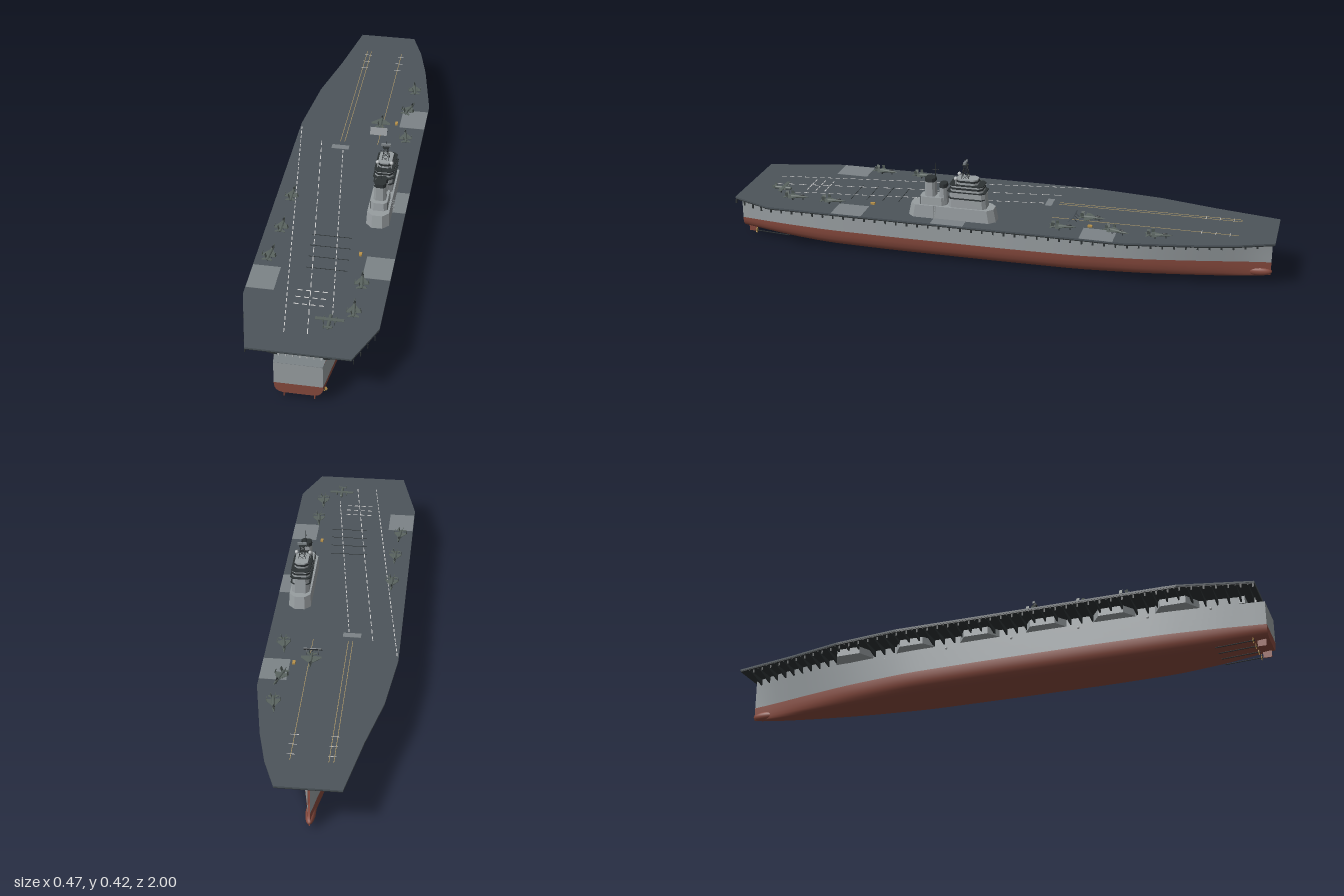
import * as THREE from 'three';

const C = { grey: 0x979da0, red: 0x84483c, deck: 0x4c545a, dark: 0x2c3133, light: 0x7c8387, plane: 0x59635f,
  white: 0xc4c6c2, tan: 0xb09a68, gold: 0xb8924a, pale: 0xb4b8ba };
const mats = {};
const mat = (c) => (mats[c] ??= new THREE.MeshStandardMaterial({ color: C[c], side: THREE.DoubleSide }));
const DECK = 0.191;

function add(parent, name, geo, color, x = 0, y = 0, z = 0) {
  const m = new THREE.Mesh(geo, mat(color));
  m.name = name;
  m.position.set(x, y, z);
  parent.add(m);
  return m;
}
const box = (p, name, c, w, h, d, x, y, z) => add(p, name, new THREE.BoxGeometry(w, h, d), c, x, y, z);

// Thin round bar between two points
function bar(p, name, c, a, b, r = 0.001) {
  const A = new THREE.Vector3(...a), B = new THREE.Vector3(...b);
  return add(p, name, new THREE.TubeGeometry(new THREE.LineCurve3(A, B), 1, r, 5), c);
}

// Plan outline [x, z] raised to a height, with an optional taper towards (cx, cz)
function slab(points, h, taper = 1, cx = 0, cz = 0) {
  const s = new THREE.Shape(points.map(([x, z]) => new THREE.Vector2(x, -z)));
  const g = new THREE.ExtrudeGeometry(s, { depth: h, bevelEnabled: false }).rotateX(-Math.PI / 2);
  const p = g.attributes.position;
  for (let i = 0; i < p.count; i++) if (p.getY(i) > h / 2)
    p.setXYZ(i, cx + (p.getX(i) - cx) * taper, h, cz + (p.getZ(i) - cz) * taper);
  g.computeVertexNormals();
  return g;
}
// Eight-sided block with cut corners
function block(w, d, cut, h, taper = 1) {
  const a = w / 2, b = d / 2;
  return slab([[-a + cut, -b], [a - cut, -b], [a, -b + cut], [a, b - cut], [a - cut, b], [-a + cut, b],
    [-a, b - cut], [-a, -b + cut]], h, taper);
}
// Skin over rows of points
function loft(rows) {
  const n = rows[0].length, idx = [];
  for (let i = 0; i < rows.length - 1; i++) for (let j = 0; j < n - 1; j++) {
    const a = i * n + j;
    idx.push(a, a + n, a + 1, a + 1, a + n, a + n + 1);
  }
  const g = new THREE.BufferGeometry();
  g.setAttribute('position', new THREE.Float32BufferAttribute(rows.flat(2), 3));
  g.setIndex(idx);
  g.computeVertexNormals();
  return g;
}
// Piecewise linear lookup: rows [z, value...]
function look(table, z, k = 1) {
  for (let i = 1; i < table.length; i++) if (z <= table[i][0] || i === table.length - 1) {
    const [a, b] = [table[i - 1], table[i]];
    return THREE.MathUtils.lerp(a[k], b[k], THREE.MathUtils.clamp((z - a[0]) / (b[0] - a[0]), 0, 1));
  }
}

// Hull stations: z, half beam at top, half beam at waterline, keel height
const STATIONS = [[-0.985, 0.004, 0.003, 0.02], [-0.9, 0.035, 0.018, 0.01], [-0.75, 0.07, 0.05, 0.005],
  [-0.55, 0.1, 0.088, 0.001], [-0.3, 0.12, 0.117, 0], [0, 0.122, 0.122, 0], [0.4, 0.122, 0.122, 0],
  [0.65, 0.117, 0.117, 0.002], [0.82, 0.103, 0.103, 0.012], [1, 0.08, 0.08, 0.03]];
// Deck edge: z, distance from the centreline
const EDGE_R = [[-1, 0.11], [-0.88, 0.155], [-0.74, 0.19], [-0.49, 0.235], [0.83, 0.235], [0.985, 0.17]];
const EDGE_L = [[-1, 0.11], [-0.76, 0.157], [-0.55, 0.207], [-0.3, 0.237], [0.73, 0.237], [0.985, 0.175]];

function buildHull(g) {
  const zs = [];
  for (let i = 0; i <= 60; i++) zs.push(-0.985 + 1.985 * i / 60);
  const smooth = (z, k) => [-0.05, -0.025, 0, 0.025, 0.05].reduce((s, d) => s + look(STATIONS, z + d, k) / 5, 0);
  const st = (z, k) => (z < -0.97 || z > 0.97 ? look(STATIONS, z, k) : smooth(z, k));
  const half = (z) => {
    const b = st(z, 2), y0 = st(z, 3), h = 0.07 - y0;
    return [[1, 1], [1, 0.72], [0.965, 0.45], [0.9, 0.24], [0.8, 0.1], [0.65, 0.02], [0.3, 0], [0, 0]]
      .map(([u, v]) => [b * u, y0 + h * v, z]);
  };
  const ring = (z) => { const r = half(z); return [...r, ...r.slice(0, -1).reverse().map(([x, y]) => [-x, y, z])]; };
  add(g, 'lowerHull', loft(zs.map(ring)), 'red');
  const side = (z, s, y0, y1) => [0, 0.25, 0.5, 0.75, 1].map((t) => {
    const y = y0 + (y1 - y0) * t, f = (y - 0.07) / 0.113;
    return [s * THREE.MathUtils.lerp(st(z, 2), st(z, 1), f), y, z];
  });
  for (const s of [1, -1]) {
    const order = (r) => (s > 0 ? r.reverse() : r);
    add(g, 'upperHull', loft(zs.map((z) => order(side(z, s, 0.07, 0.155)))), 'grey');
    add(g, 'hullTop', loft(zs.filter((z) => z < 0.94).map((z) => order(side(z, s, 0.155, 0.183)))), 'grey');
  }
  // Flat stern in two colours
  const cap = ring(1).map(([x, y]) => new THREE.Vector2(x, y));
  add(g, 'lowerTransom', new THREE.ShapeGeometry(new THREE.Shape(cap)), 'red', 0, 0, 1);
  box(g, 'upperTransom', 'grey', 0.16, 0.085, 0.004, 0, 0.1125, 0.998);
  box(g, 'sternGallery', 'grey', 0.19, 0.03, 0.02, 0, 0.169, 0.925);
  add(g, 'quarterdeck', slab([[-0.095, 0.85], [0.095, 0.85], [0.08, 1], [-0.08, 1]], 0.003), 'light', 0, 0.153, 0);
  for (let i = -3; i <= 3; i++) box(g, 'sternPost', 'pale', 0.004, 0.03, 0.004, i * 0.023, 0.169, 0.965);
  add(g, 'bowBulb', new THREE.SphereGeometry(1, 20, 14).scale(0.017, 0.018, 0.055), 'red', 0, 0.032, -0.935);
  // Screws and rudders
  for (const x of [-0.075, -0.025, 0.025, 0.075]) {
    bar(g, 'shaft', 'dark', [x, 0.012, 0.82], [x, 0.019, 0.955], 0.002);
    for (let k = 0; k < 4; k++)
      box(g, 'propellerBlade', 'gold', 0.005, 0.02, 0.002, x, 0.019, 0.95).rotation.z = k * Math.PI / 4;
  }
  for (const x of [-0.05, 0.05]) box(g, 'rudder', 'red', 0.004, 0.034, 0.03, x, 0.022, 0.975);
}

function buildDeck(g) {
  const outline = [...EDGE_R.map(([z, x]) => [x, z]), ...EDGE_L.map(([z, x]) => [-x, z]).reverse()];
  add(g, 'flightDeck', slab(outline, 0.006), 'deck', 0, DECK - 0.006, 0);
  add(g, 'deckUnderside', slab(outline.map(([x, z]) => [x * 0.995, z * 0.998]), 0.004), 'dark', 0, DECK - 0.01, 0);
  for (const [s, edge] of [[1, EDGE_R], [-1, EDGE_L]]) {
    // Triangular brackets and hanging stays below the overhang
    for (let z = -0.96; z < 0.97; z += 0.04) {
      const b = look(STATIONS, z), e = look(edge, z);
      const tri = new THREE.Shape([[b - 0.01, 0.182], [b - 0.01, 0.158], [b, 0.158], [e - 0.004, 0.179], [e - 0.004, 0.182]]
        .map(([x, y]) => new THREE.Vector2(s * x, y)));
      add(g, 'deckBracket', new THREE.ExtrudeGeometry(tri, { depth: 0.005, bevelEnabled: false }), 'dark', 0, 0, z);
      box(g, 'edgeStay', 'dark', 0.003, 0.015, 0.006, s * (e - 0.006), 0.176, z + 0.02);
    }
    // Side sponsons
    for (const z of [-0.52, -0.27, -0.02, 0.23, 0.48, 0.7]) {
      const b = look(STATIONS, z) - 0.006;
      add(g, 'sponson', slab([[s * b, z - 0.08], [s * 0.165, z - 0.045], [s * 0.165, z + 0.045], [s * b, z + 0.08]], 0.028),
        'grey', 0, 0.155, 0);
      add(g, 'sidePod', new THREE.SphereGeometry(0.005, 8, 6), 'pale', s * (b + 0.009), 0.142, z + 0.12);
    }
  }
  // Lifts: x, z, width, length
  for (const [x, z, w, d] of [[0.187, -0.39, 0.096, 0.12], [0.21, 0.15, 0.05, 0.12], [0.187, 0.528, 0.096, 0.115],
    [-0.188, 0.635, 0.096, 0.12]]) box(g, 'aircraftLift', 'light', w, 0.002, d, x, DECK, z);
  box(g, 'deckPanel', 'light', 0.065, 0.002, 0.025, -0.062, DECK, -0.163);
  // Painted lines, dashed when n > 1
  const line = (c, x0, z0, x1, z1, n = 1, w = 0.003) => {
    const len = Math.hypot(x1 - x0, z1 - z0) / n;
    for (let i = 0; i < n; i++) {
      const t = (i + 0.5) / n;
      box(g, 'deckLine', c, w, 0.001, len * (n > 1 ? 0.6 : 1), x0 + (x1 - x0) * t, DECK + 0.0005, z0 + (z1 - z0) * t)
        .rotation.y = Math.atan2(x1 - x0, z1 - z0);
    }
  };
  line('white', -0.232, -0.28, -0.065, 0.9, 40);
  line('white', -0.05, -0.15, 0.075, 0.79, 30);
  line('white', -0.14, -0.2, 0.012, 0.9, 24);
  for (const x of [-0.068, -0.052, 0.074]) line('tan', x, -0.87, x, -0.2, 1, 0.002);
  for (const z of [-0.84, -0.79, -0.74]) for (const x of [-0.06, 0.074]) line('white', x - 0.014, z, x + 0.014, z, 1, 0.002);
  for (const z of [0.68, 0.715, 0.75]) line('white', -0.068, z, 0.045, z, 4, 0.004);
  for (const z of [0.38, 0.44, 0.5, 0.56]) line('dark', -0.1 + z * 0.08, z, 0.04 + z * 0.08, z, 1, 0.002);
  // Raised blast shield
  box(g, 'blastShield', 'deck', 0.065, 0.003, 0.03, 0.067, DECK + 0.01, -0.275).rotation.x = 0.8;
  for (const x of [0.045, 0.067, 0.089]) bar(g, 'shieldStrut', 'dark', [x, DECK, -0.295], [x, DECK + 0.015, -0.28]);
}

function buildIsland(g) {
  const X = 0.147;
  const put = (name, c, w, d, cut, h, taper, y, z) => add(g, name, block(w, d, cut, h, taper), c, X, y, z);
  put('islandBase', 'grey', 0.082, 0.325, 0.022, 0.048, 0.94, 0.19, 0.147);
  put('bridgeTower', 'grey', 0.064, 0.14, 0.012, 0.062, 0.92, 0.237, 0.09);
  put('funnelHouse', 'grey', 0.062, 0.1, 0.012, 0.03, 0.92, 0.237, 0.22);
  for (const [y, w, d] of [[0.272, 0.074, 0.135], [0.297, 0.076, 0.14], [0.322, 0.07, 0.125]])
    put('bridgeWalkway', 'dark', w, d, 0.012, 0.003, 1, y, 0.092);
  for (const [y, w, d] of [[0.3, 0.066, 0.12], [0.325, 0.05, 0.08]]) {
    put('bridgeDeck', 'grey', w, d, 0.012, 0.02, 0.97, y, 0.092);
    put('bridgeWindows', 'dark', w + 0.001, d + 0.001, 0.012, 0.007, 1, y + 0.008, 0.092);
  }
  for (const [z, h, d] of [[0.23, 0.098, 0.042], [0.182, 0.08, 0.03]]) {
    put('funnel', 'grey', 0.046, d, 0.009, h - 0.012, 0.85, 0.237, z);
    put('funnelCap', 'dark', 0.041, d * 0.9, 0.008, 0.014, 0.95, 0.237 + h - 0.014, z);
  }
  // Lattice mast with crossing braces
  const z0 = 0.1, yA = 0.34, yB = 0.392, corners = [[-1, -1], [1, -1], [1, 1], [-1, 1]];
  const node = (k, t) => {
    const r = THREE.MathUtils.lerp(0.013, 0.005, t), [cx, cz] = corners[k % 4];
    return [X + cx * r, yA + (yB - yA) * t, z0 + cz * r];
  };
  for (let k = 0; k < 4; k++) {
    bar(g, 'mastLeg', 'dark', node(k, 0), node(k, 1));
    for (let i = 0; i < 3; i++) {
      bar(g, 'mastBrace', 'dark', node(k, i / 3), node(k + 1, (i + 1) / 3), 0.0006);
      bar(g, 'mastBrace', 'dark', node(k + 1, i / 3), node(k, (i + 1) / 3), 0.0006);
    }
  }
  put('mastPlatform', 'dark', 0.022, 0.022, 0.005, 0.003, 1, yB, z0);
  box(g, 'radarPanel', 'light', 0.034, 0.008, 0.008, X, 0.403, z0);
  bar(g, 'mastSpike', 'dark', [X, 0.39, z0], [X, 0.417, z0]);
  bar(g, 'yardArm', 'dark', [X - 0.022, 0.375, z0], [X + 0.022, 0.375, z0]);
  bar(g, 'rearMast', 'dark', [X, 0.32, 0.212], [X, 0.39, 0.212], 0.0013);
  bar(g, 'rearYard', 'dark', [X, 0.365, 0.2], [X, 0.365, 0.224]);
  // Radar domes and whip aerials
  for (const s of [-1, 1]) {
    add(g, 'radarDome', new THREE.SphereGeometry(0.007, 14, 10), 'pale', X + s * 0.025, 0.347, 0.13);
    bar(g, 'domePost', 'grey', [X + s * 0.025, 0.32, 0.13], [X + s * 0.025, 0.342, 0.13], 0.002);
    bar(g, 'aerial', 'dark', [X + s * 0.03, 0.235, 0.26], [X + s * 0.03, 0.27, 0.26]);
  }
  // Outboard ladder
  for (const z of [0.2, 0.21]) bar(g, 'ladderRail', 'grey', [0.192, DECK, z], [0.192, 0.242, z]);
  for (let y = 0.2; y < 0.242; y += 0.01) bar(g, 'ladderRung', 'grey', [0.184, y, 0.205], [0.196, y, 0.205]);
}

// Parked jet, nose towards -z
function jet(g, x, z, turn, span) {
  const j = new THREE.Group();
  j.name = 'parkedJet';
  j.position.set(x, DECK, z);
  j.rotation.y = turn;
  g.add(j);
  const body = [[0, -0.05], [0.002, -0.042], [0.005, -0.025], [0.006, 0.01], [0.005, 0.04], [0, 0.041]];
  add(j, 'fuselage', new THREE.LatheGeometry(body.map(([r, y]) => new THREE.Vector2(r, y)), 10).rotateX(Math.PI / 2),
    'plane', 0, 0.012, 0);
  add(j, 'canopy', new THREE.SphereGeometry(1, 8, 6).scale(0.003, 0.004, 0.01), 'dark', 0, 0.017, -0.022);
  for (const s of [-1, 1]) {
    add(j, 'wing', slab([[0, -0.02], [s * span, 0.014], [s * span, 0.024], [0, 0.026]], 0.0015), 'plane', 0, 0.012, 0);
    add(j, 'tailplane', slab([[0, 0.026], [s * 0.018, 0.04], [s * 0.018, 0.047], [0, 0.042]], 0.0012), 'plane', 0, 0.012, 0);
    if (span < 0.03) box(j, 'foldedWing', 'plane', 0.0012, 0.014, 0.011, s * span, 0.019, 0.019).rotation.z = s * 0.2;
    box(j, 'tailFin', 'plane', 0.0012, 0.016, 0.012, s * 0.007, 0.022, 0.034).rotation.z = -s * 0.3;
    box(j, 'mainWheel', 'dark', 0.002, 0.009, 0.004, s * 0.007, 0.0045, 0.012);
  }
  box(j, 'noseWheel', 'dark', 0.002, 0.009, 0.003, 0, 0.0045, -0.026);
}

export function createModel() {
  const g = new THREE.Group();
  g.name = 'aircraftCarrier';
  buildHull(g);
  buildDeck(g);
  buildIsland(g);
  // Jets: x, z, heading, half span
  for (const a of [[0.163, -0.6, 0.15, 0.023], [0.163, -0.45, -0.3, 0.023], [0.172, -0.26, 0.15, 0.023],
    [0.067, -0.345, 0, 0.036], [-0.18, 0.17, 0, 0.023], [-0.18, 0.355, 0, 0.023], [-0.188, 0.515, -0.1, 0.023],
    [0.143, 0.61, 0.1, 0.023], [0.14, 0.755, 0.1, 0.023]]) jet(g, ...a);
  // Propeller aircraft near the stern
  const p = new THREE.Group();
  p.name = 'propellerAircraft';
  p.position.set(0.072, DECK, 0.835);
  g.add(p);
  add(p, 'fuselage', new THREE.CapsuleGeometry(0.006, 0.06, 4, 10).rotateX(Math.PI / 2), 'plane', 0, 0.013, 0);
  box(p, 'wing', 'plane', 0.095, 0.002, 0.013, 0, 0.018, -0.006);
  box(p, 'tailplane', 'plane', 0.03, 0.0015, 0.008, 0, 0.018, 0.032);
  for (const s of [-1, 1]) {
    box(p, 'tailFin', 'plane', 0.0015, 0.011, 0.008, s * 0.014, 0.019, 0.032);
    add(p, 'engine', new THREE.CylinderGeometry(0.003, 0.003, 0.024, 8).rotateX(Math.PI / 2), 'plane', s * 0.02, 0.015, -0.008);
    box(p, 'wheel', 'dark', 0.002, 0.013, 0.004, s * 0.018, 0.0065, 0);
  }
  // Deck tractors
  for (const [x, z] of [[0.125, -0.35], [0.115, 0.465]]) box(g, 'deckTractor', 'gold', 0.01, 0.007, 0.016, x, DECK + 0.0035, z);
  return g;
}
